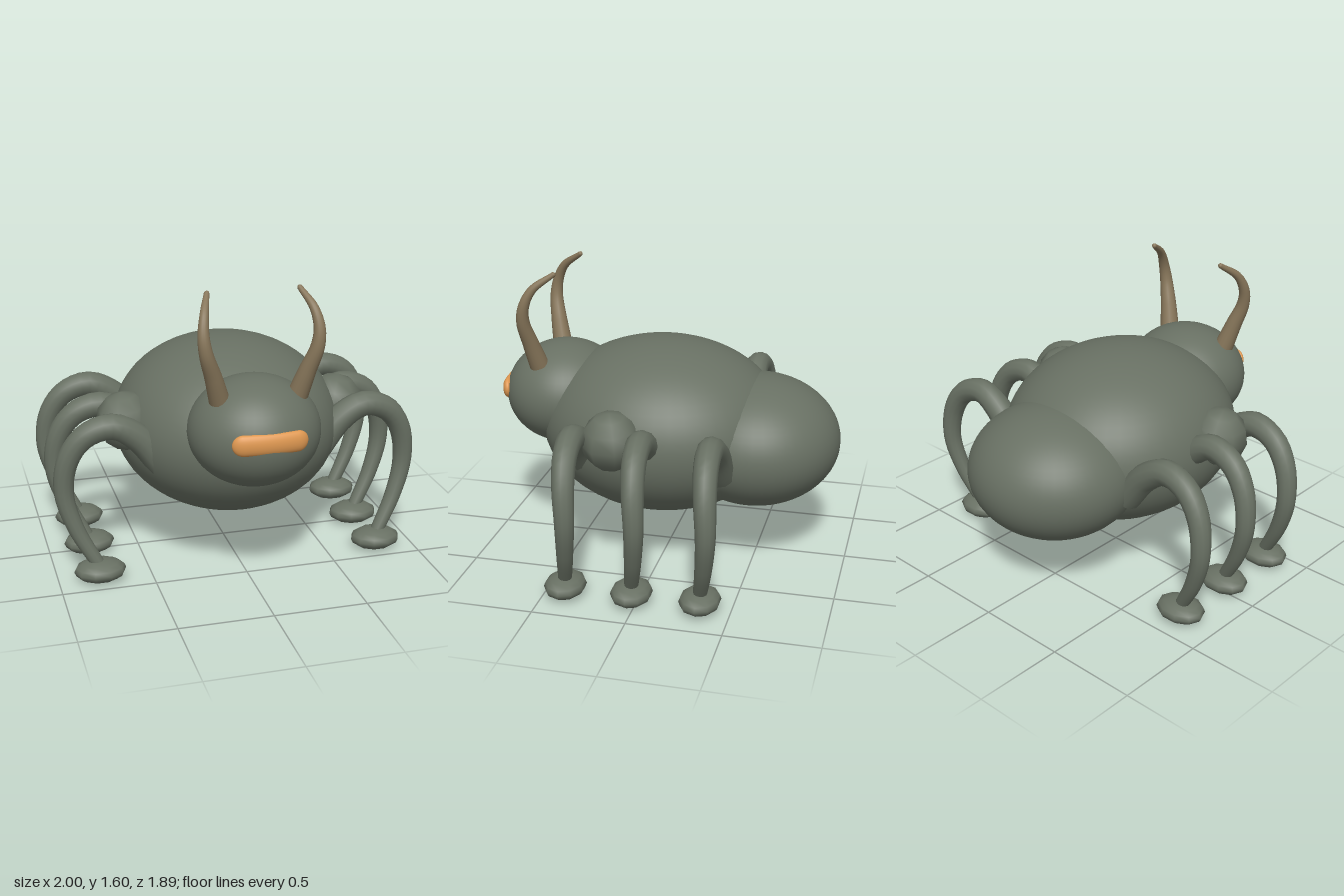
import * as THREE from 'three';

const shell = new THREE.MeshStandardMaterial({ color: 0x687063 });
shell.name = 'shell grey green';
const horn = new THREE.MeshStandardMaterial({ color: 0x87765a });
horn.name = 'horn brown';
const orange = new THREE.MeshStandardMaterial({ color: 0xdf9851 });
orange.name = 'mouth orange';

function add(group, name, geometry, material) {
  const mesh = new THREE.Mesh(geometry, material);
  mesh.name = name;
  group.add(mesh);
  return mesh;
}

function ellipsoid(group, name, center, radii, w = 48, h = 32) {
  const mesh = add(group, name, new THREE.SphereGeometry(1, w, h), shell);
  mesh.position.set(...center);
  mesh.scale.set(...radii);
  return mesh;
}

// Tube along a smooth curve whose radius runs linearly from r0 to r1
function taperedTube(points, r0, r1, segments, sides) {
  const curve = new THREE.CatmullRomCurve3(points.map(p => new THREE.Vector3(...p)));
  const geometry = new THREE.TubeGeometry(curve, segments, 1, sides);
  const pos = geometry.attributes.position;
  const v = new THREE.Vector3();
  for (let i = 0; i < pos.count; i++) {
    const u = Math.floor(i / (sides + 1)) / segments;
    const c = curve.getPointAt(u);
    v.fromBufferAttribute(pos, i).sub(c).multiplyScalar(r0 + (r1 - r0) * u).add(c);
    pos.setXYZ(i, v.x, v.y, v.z);
  }
  geometry.computeBoundingSphere();
  return geometry;
}

export function createModel() {
  const model = new THREE.Group();
  model.name = 'hornedBeetle';

  // Three overlapping body sections
  ellipsoid(model, 'thorax', [0, 0.73, 0.04], [0.615, 0.475, 0.675]);
  ellipsoid(model, 'abdomen', [0, 0.675, -0.48], [0.47, 0.355, 0.465]);
  ellipsoid(model, 'head', [0, 0.868, 0.605], [0.345, 0.287, 0.33]);

  // Mouth: flattened capsule bent around the head
  const mouth = new THREE.CapsuleGeometry(0.055, 0.28, 10, 24, 12);
  mouth.rotateZ(Math.PI / 2).scale(1, 1, 0.5);
  const mp = mouth.attributes.position;
  for (let i = 0; i < mp.count; i++) mp.setZ(i, mp.getZ(i) - 0.6 * mp.getX(i) ** 2);
  mouth.computeVertexNormals();
  add(model, 'mouth', mouth, orange).position.set(0, 0.9, 0.915);

  for (const s of [1, -1]) {
    const side = s > 0 ? 'left' : 'right';

    // Horn with a closed tip
    const hornPath = [[0.205, 1.07, 0.69], [0.243, 1.2, 0.72], [0.285, 1.33, 0.745],
      [0.295, 1.42, 0.735], [0.28, 1.51, 0.69], [0.24, 1.59, 0.583]];
    add(model, side + 'Horn',
      taperedTube(hornPath.map(([x, y, z]) => [s * x, y, z]), 0.054, 0.014, 32, 16), horn);
    add(model, side + 'HornTip', new THREE.SphereGeometry(0.014, 12, 8), horn)
      .position.set(s * 0.24, 1.59, 0.583);

    // Coarse shoulder knob
    const knob = ellipsoid(model, side + 'Shoulder', [s * 0.585, 0.82, 0.18],
      [0.16, 0.16, 0.16], 8, 6);
    knob.rotation.set(0, Math.PI / 8, -s * 0.15, 'ZYX');

    // Three arched legs with flat feet
    [['front', 0.36], ['middle', 0], ['rear', -0.365]].forEach(([place, z]) => {
      const legPath = [[0.42, 0.62, 0], [0.56, 0.79, 0], [0.69, 0.858, 0],
        [0.83, 0.815, -0.01], [0.92, 0.69, -0.025], [0.948, 0.5, -0.035],
        [0.895, 0.3, -0.015], [0.785, 0.09, 0.025]];
      add(model, side + place + 'Leg',
        taperedTube(legPath.map(([x, y, dz]) => [s * x, y, z + dz]), 0.082, 0.036, 32, 12), shell);
      ellipsoid(model, side + place + 'Foot', [s * 0.78, 0.063, z + 0.025],
        [0.14, 0.06, 0.11], 10, 8);
    });
  }
  return model;
}
